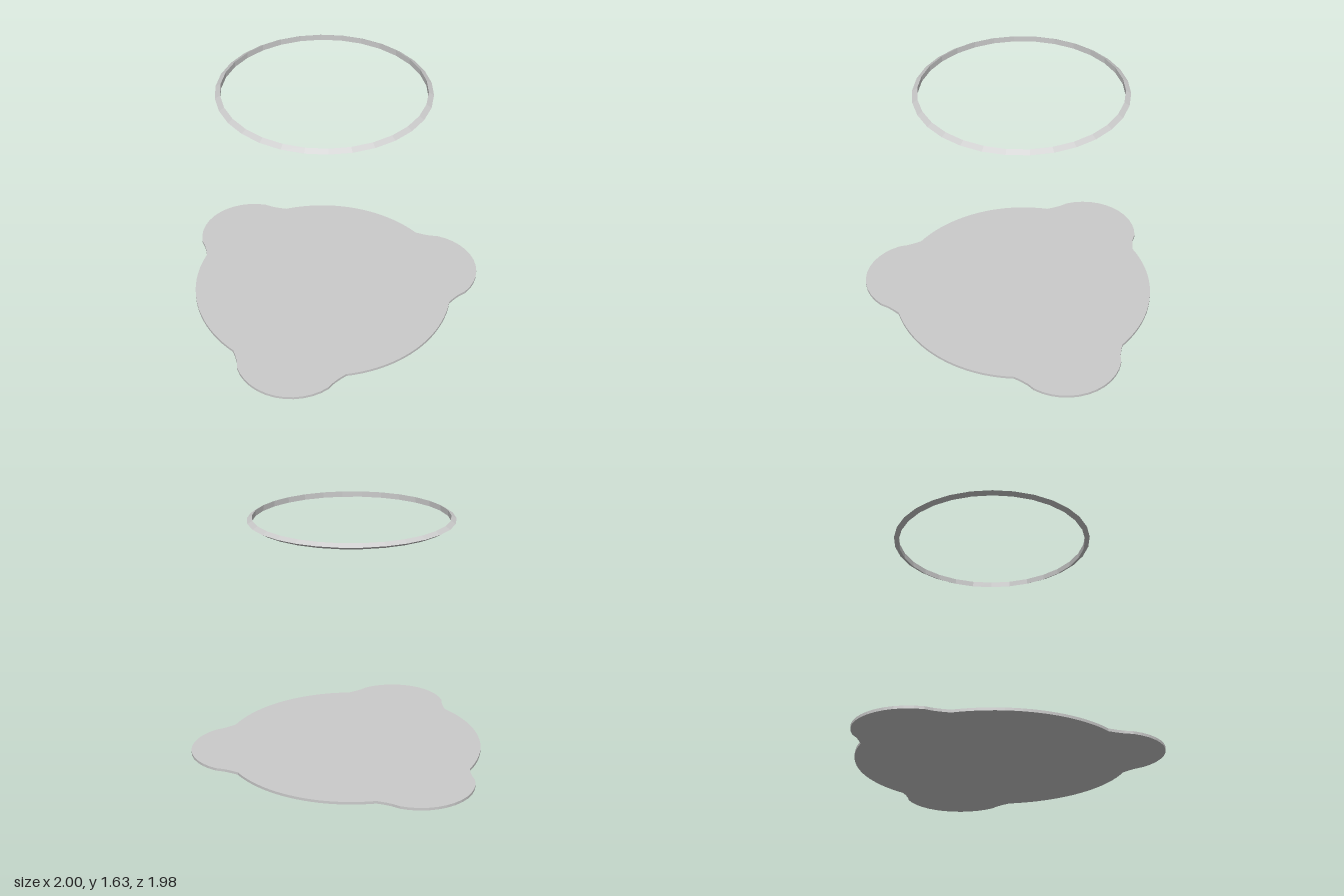
import * as THREE from 'three';

const CENTER_Z = 0.105;
const PLATE_R = 0.88;
const PLATE_T = 0.018;
const LOBE_R = 0.365, LOBE_C = 0.735;

// Half of one lobe, from its tip to the rim: [sideways, outward]
function halfLobe() {
  const pts = [];
  for (let i = 0; i <= 6; i++) {
    const a = THREE.MathUtils.degToRad(i * 9.5);
    pts.push([LOBE_R * Math.sin(a), LOBE_C + LOBE_R * Math.cos(a)]);
  }
  pts.push([0.327, 0.88], [0.352, 0.837], [0.383, 0.792]);
  return pts;
}

// Disc outline with three lobes, running clockwise from the back lobe
function plateOutline() {
  const half = halfLobe();
  const lobe = [...half.slice(1).reverse().map(([u, v]) => [-u, v]), ...half];
  const edge = Math.atan2(0.383, 0.792);
  const steps = 20;
  const span = Math.PI * 2 / 3 - 2 * edge;
  const third = [...lobe];
  for (let i = 1; i < steps; i++) {
    const a = edge + span * i / steps;
    third.push([PLATE_R * Math.sin(a), PLATE_R * Math.cos(a)]);
  }
  const points = [];
  for (let k = 0; k < 3; k++) {
    const turn = -k * Math.PI * 2 / 3;
    for (const [x, y] of third) {
      points.push(new THREE.Vector2(x, y).rotateAround(new THREE.Vector2(), turn));
    }
  }
  return new THREE.Shape(points);
}

export function createModel() {
  const group = new THREE.Group();
  const material = new THREE.MeshStandardMaterial({ color: 0xcccccc, flatShading: true });

  // Thin three-lobed base plate
  const plateGeometry = new THREE.ExtrudeGeometry(plateOutline(), { depth: PLATE_T, bevelEnabled: false });
  plateGeometry.rotateX(-Math.PI / 2);
  const plate = new THREE.Mesh(plateGeometry, material);
  plate.name = 'basePlate';
  plate.position.z = CENTER_Z;
  group.add(plate);

  // Floating ring with a triangular section pointing outwards
  const ringGeometry = new THREE.TorusGeometry(0.655, 0.022, 3, 30);
  ringGeometry.rotateX(-Math.PI / 2);
  const ring = new THREE.Mesh(ringGeometry, material);
  ring.name = 'floatingRing';
  ring.position.set(0, 1.608, CENTER_Z);
  group.add(ring);

  return group;
}
